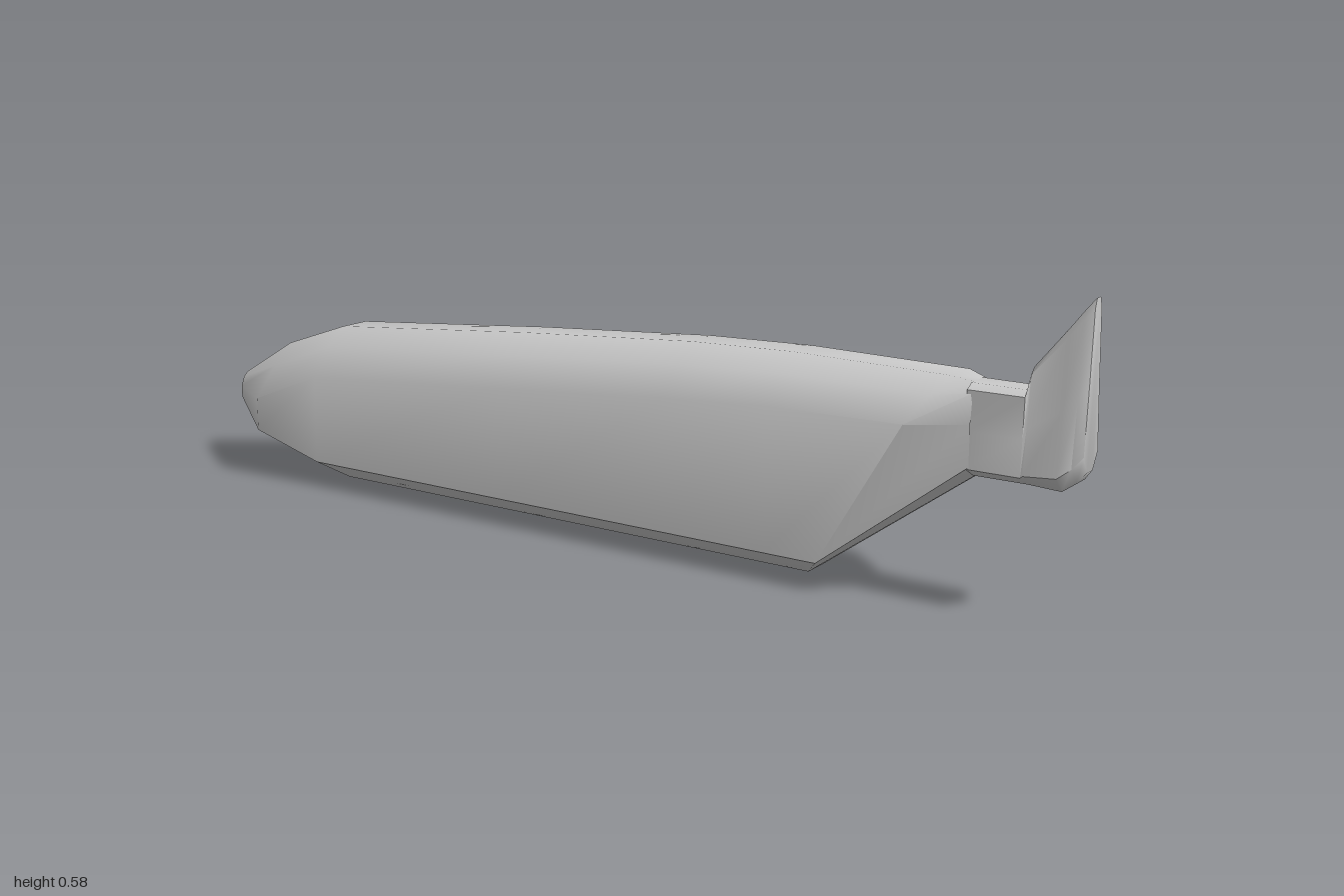
import * as THREE from 'three';
import { toCreasedNormals } from 'three/addons/utils/BufferGeometryUtils.js';

const material = new THREE.MeshStandardMaterial({ color: 0xcccccc, side: THREE.DoubleSide });

// Skin between closed cross-sections ordered by rising z; skip(i, j) leaves panels out.
function loft(rows, { skip = () => false, capStart = false, capEnd = false } = {}) {
  const n = rows[0].length;
  const positions = rows.flat(2);
  const index = [];
  for (let i = 0; i < rows.length - 1; i++) {
    for (let j = 0; j < n; j++) {
      if (skip(i, j)) continue;
      const k = (j + 1) % n;
      const a = i * n + j, b = i * n + k;
      index.push(a, b, a + n, b, b + n, a + n);
    }
  }
  for (let j = 1; j < n - 1; j++) {
    const e = (rows.length - 1) * n;
    if (capStart) index.push(0, j + 1, j);
    if (capEnd) index.push(e, e + j, e + j + 1);
  }
  const geometry = new THREE.BufferGeometry();
  geometry.setAttribute('position', new THREE.Float32BufferAttribute(positions, 3));
  geometry.setIndex(index);
  return toCreasedNormals(geometry, 0.85);
}

// Hull outline: roof rim, roof, left side, keel, right sill, right shoulder.
function hullSection(z, top, shoulder, low, bottom, w = 0.125) {
  const mid = (top + shoulder) / 2 + 0.01;
  return [
    [0.052, top - 0.012, z], [0.04, top, z], [-0.03, top, z],
    [-0.08, mid, z], [-w, shoulder, z], [-w, low, z],
    [-0.025, bottom, z], [0.02, bottom, z],
    [w - 0.005, low, z], [w - 0.012, shoulder, z],
  ];
}

// Tail outline: rounded box whose upper part can taper to a narrow tip.
function tailSection(z, bottom, top, halfLow, halfTop) {
  const c = -0.035, h = top - bottom;
  const side = (t) => halfLow + (halfTop - halfLow) * t;
  const right = [[side(1) * 0.6, 1], [side(0.94), 0.94], [side(0.5), 0.5], [halfLow, 0.1], [halfLow * 0.4, 0]];
  const left = right.map(([x, t]) => [-x, t]);
  return [right[0], ...left, ...right.slice(1).reverse()]
    .map(([x, t]) => [c + x, bottom + t * h, z]);
}

function createHull() {
  const tip = [
    [0.025, 0.19], [0.015, 0.195], [-0.015, 0.195], [-0.028, 0.185], [-0.036, 0.165],
    [-0.036, 0.14], [-0.015, 0.12], [0.015, 0.12], [0.036, 0.14], [0.036, 0.165],
  ].map(([x, y]) => [x, y, -1]);

  // Slanted front end of the open bay
  const slant = hullSection(0, 0.41, 0.335, 0.055, 0)
    .map(([x, y]) => [x, y, y < 0.01 ? 0.46 : 0.53 + (y - 0.055) * 0.59]);
  slant[0][1] = 0.39;

  // Neck where the tail joins
  const neck = [
    [0, 0.4], [-0.015, 0.41], [-0.055, 0.41], [-0.074, 0.395], [-0.08, 0.34],
    [-0.08, 0.265], [-0.05, 0.245], [-0.02, 0.245], [0.01, 0.265], [0.01, 0.34],
  ].map(([x, y]) => [x, y, 0.8]);

  const rows = [
    tip,
    hullSection(-0.85, 0.28, 0.175, 0.105, 0.055, 0.137),
    hullSection(-0.69, 0.335, 0.24, 0.055, 0),
    hullSection(-0.2, 0.378, 0.28, 0.055, 0),
    hullSection(0.2, 0.407, 0.315, 0.055, 0),
    hullSection(0.42, 0.414, 0.33, 0.055, 0),
    slant,
    neck,
  ];
  // The right side stays open from the nose to the slanted end
  const skip = (i, j) => i >= 1 && i <= 5 && j >= 8;
  return loft(rows, { skip, capStart: true });
}

function createTail() {
  return loft([
    tailSection(0.79, 0.245, 0.41, 0.045, 0.04),
    tailSection(0.895, 0.245, 0.41, 0.045, 0.038),
    tailSection(0.9, 0.245, 0.45, 0.046, 0.028),
    tailSection(0.96, 0.242, 0.525, 0.046, 0.02),
    tailSection(0.985, 0.26, 0.558, 0.044, 0.017),
    tailSection(1, 0.28, 0.576, 0.03, 0.013),
  ], { capStart: true, capEnd: true });
}

// Frame that follows the hull outline and closes across the opening
function createFrame() {
  const outline = hullSection(0, 0.335, 0.24, 0.055, 0);
  const scaled = (s) => outline.map(([x, y]) => new THREE.Vector2(x * s, 0.168 + (y - 0.168) * s));
  const shape = new THREE.Shape(scaled(0.985));
  shape.holes.push(new THREE.Path(scaled(0.92)));
  return new THREE.ExtrudeGeometry(shape, { depth: 0.014, bevelEnabled: false });
}

export function createModel() {
  const model = new THREE.Group();
  model.name = 'hollowHull';
  const add = (name, geometry) => {
    const mesh = new THREE.Mesh(geometry, material);
    mesh.name = name;
    model.add(mesh);
    return mesh;
  };

  add('hullShell', createHull());
  add('tailFin', createTail());
  add('bayFrame', createFrame()).position.z = -0.695;

  // Narrow sill along the lower edge of the opening
  add('baySill', new THREE.BoxGeometry(0.02, 0.01, 1.21)).position.set(0.107, 0.052, -0.085);
  return model;
}
